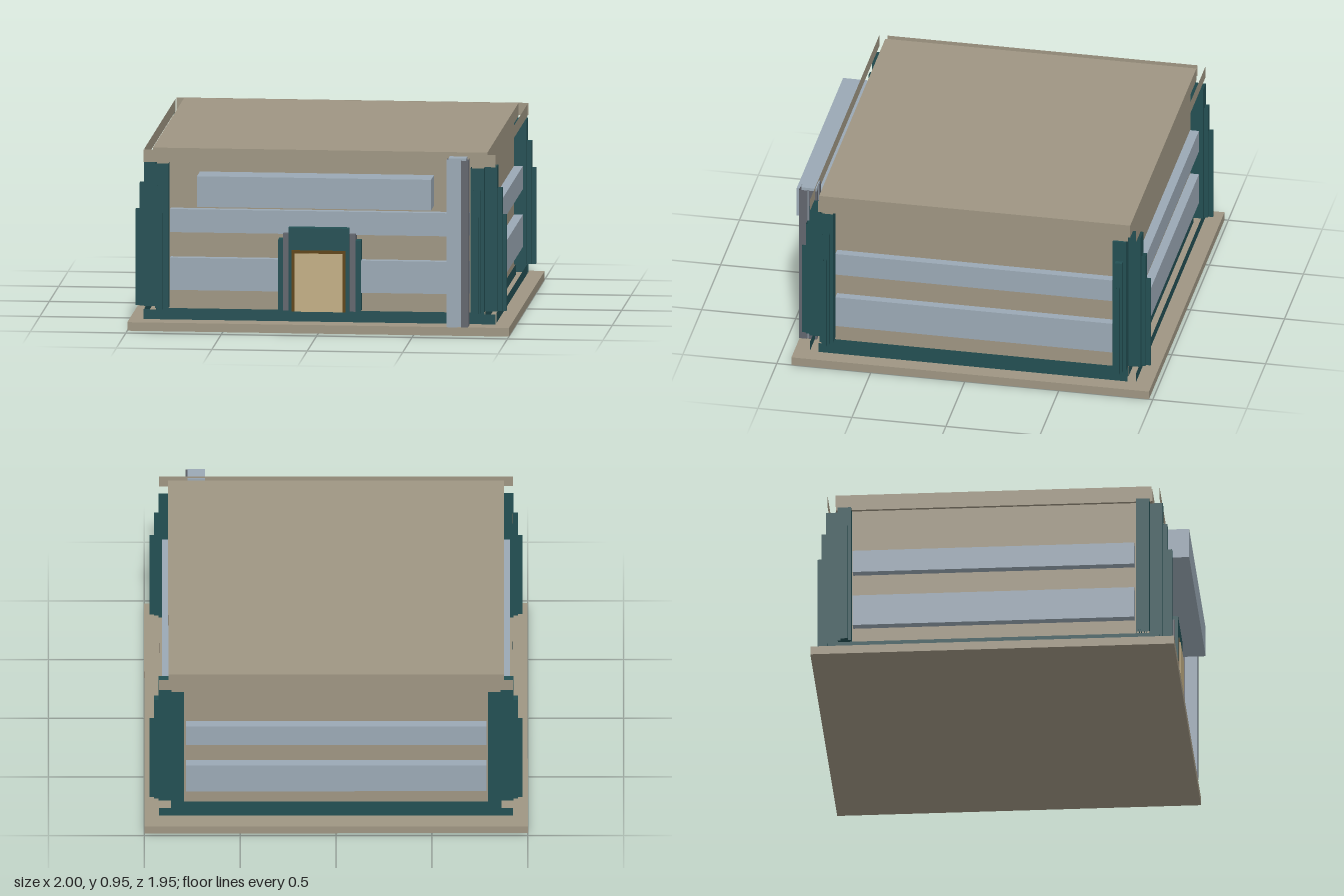
import * as THREE from 'three';

const mat = (name, color, side = THREE.FrontSide) => {
  const m = new THREE.MeshStandardMaterial({ color, side });
  m.name = name;
  return m;
};

export function createModel() {
  const stone = mat('stone', 0x9e9582, THREE.DoubleSide);
  const teal = mat('teal', 0x234f53, THREE.DoubleSide);
  const glass = mat('paleBlue', 0x9aa8b4);
  const grey = mat('grey', 0x62656d, THREE.DoubleSide);
  const cream = mat('cream', 0xc2ae84);
  const brown = mat('brown', 0x5e4415);

  const root = new THREE.Group();
  root.name = 'building';

  // Box from its limits; open leaves out the top and bottom faces
  function box(name, m, [x0, x1], [y0, y1], [z0, z1], open = false, parent = root) {
    const g = new THREE.BoxGeometry(x1 - x0, y1 - y0, z1 - z0);
    if (open) {
      const idx = Array.from(g.index.array);
      idx.splice(12, 12);
      g.setIndex(idx);
      g.clearGroups();
    }
    const mesh = new THREE.Mesh(g, m);
    mesh.name = name;
    mesh.position.set((x0 + x1) / 2, (y0 + y1) / 2, (z0 + z1) / 2);
    parent.add(mesh);
    return mesh;
  }
  const span = (a, b) => [Math.min(a, b), Math.max(a, b)];

  // Upright sheet facing along z, or along x when turned
  function sheet(name, m, w, y0, y1, x, z, turned = false) {
    const mesh = new THREE.Mesh(new THREE.PlaneGeometry(w, y1 - y0), m);
    mesh.name = name;
    mesh.position.set(x, (y0 + y1) / 2, z);
    if (turned) mesh.rotation.y = Math.PI / 2;
    root.add(mesh);
  }

  // The shell is symmetric about this depth
  const C = -0.0275;

  // Slab, walls and roof
  box('groundSlab', stone, [-1, 1], [0, 0.045], [-0.98, 0.922]);
  box('walls', stone, [-0.86, 0.86], [0.045, 0.885], [-0.84, 0.785]);
  box('roof', stone, [-0.877, 0.875], [0.88, 0.95], [-0.855, 0.80]);

  const storeys = [[0.205, 0.375], [0.51, 0.632]];
  const layers = [[0, 0.875, 0.853, 0.925], [0.016, 0.76, 0.876, 0.95], [0.027, 0.62, 0.90, 0.972]];

  for (const s of [1, -1]) {
    const zAt = (z) => C + s * (z - C);

    // Parapets and base bands stand just off the walls
    sheet('parapet', stone, 1.845, 0.88, 0.945, 0, zAt(0.84));
    sheet('sideParapet', stone, 1.65, 0.88, 0.945, s * 0.922, C, true);
    sheet('baseBand', teal, 1.845, 0.05, 0.102, 0, zAt(0.84));
    sheet('sideBaseBand', teal, 1.645, 0.05, 0.102, s * 0.922, C, true);
    sheet('wallFoot', teal, 1.72, 0.046, 0.102, 0, zAt(0.788));
    sheet('sideWallFoot', teal, 1.625, 0.046, 0.102, s * 0.863, C, true);

    // Window bands
    for (const y of storeys) {
      box('windowBand', glass, [-0.785, 0.782], y, span(zAt(0.78), zAt(0.832)));
      box('sideWindowBand', glass, span(s * 0.85, s * 0.907), y, [-0.765, 0.707]);
    }

    // Stepped pilasters on both faces of each corner
    for (const t of [1, -1]) {
      layers.forEach(([inset, top, outZ, outX], i) => {
        box('cornerPilaster', teal, span(t * (0.792 + inset), t * (0.862 - inset)),
          [0.11, top], span(zAt(0.784), zAt(outZ)), true);
        const capped = s < 0 && i < 2;
        box('sideCornerPilaster', teal, span(t * 0.859, t * outX),
          [0.11, top], span(zAt(0.717 + inset), zAt(0.787 - inset)), !capped);
      });
    }
  }

  // Sign box above the entrance
  box('signBox', glass, [-0.63, 0.597], [0.668, 0.83], [0.815, 0.975]);

  // Tall pylon beside the entrance
  const pylon = new THREE.Group();
  pylon.name = 'pylon';
  root.add(pylon);
  const tall = [0.045, 0.925];
  box('pylonCore', glass, [0.682, 0.775], [0.045, 0.935], [0.835, 0.915], false, pylon);
  box('pylonFront', glass, [0.673, 0.73], [0.045, 0.93], [0.86, 0.925], true, pylon);
  box('pylonCorner', grey, [0.75, 0.785], tall, [0.882, 0.925], true, pylon);
  box('pylonSide', grey, [0.75, 0.785], tall, [0.83, 0.875], true, pylon);
  box('pylonBack', grey, [0.67, 0.70], tall, [0.83, 0.862], true, pylon);

  // Entrance: stepped surround, frame and door
  const entrance = new THREE.Group();
  entrance.name = 'entrance';
  root.add(entrance);
  for (const s of [1, -1]) {
    box('outerJamb', teal, span(s * 0.19, s * 0.217), [0.11, 0.482], [0.78, 0.852], false, entrance);
    box('middleJamb', grey, span(s * 0.158, s * 0.19), [0.11, 0.517], [0.78, 0.868], false, entrance);
  }
  box('portal', teal, [-0.16, 0.157], [0.11, 0.55], [0.78, 0.884], false, entrance);
  box('doorFrame', brown, [-0.143, 0.14], [0.11, 0.433], [0.882, 0.89], false, entrance);
  box('door', cream, [-0.127, 0.124], [0.11, 0.417], [0.888, 0.895], false, entrance);

  return root;
}
